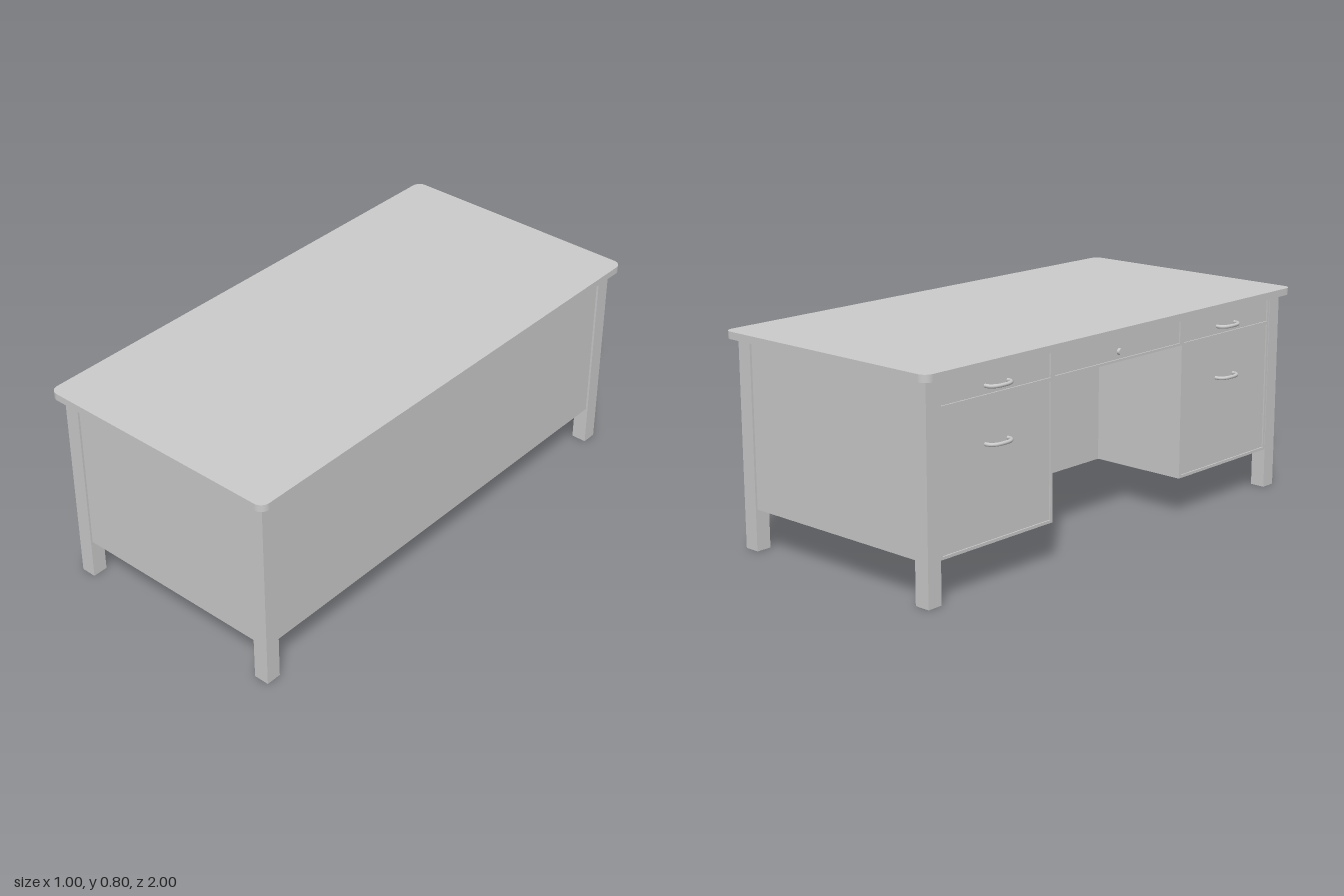
import * as THREE from 'three';

export function createModel() {
  const desk = new THREE.Group();
  desk.name = 'desk';
  const mat = new THREE.MeshStandardMaterial({ color: 0xcccccc });

  const add = (name, geo) => {
    const mesh = new THREE.Mesh(geo, mat);
    mesh.name = name;
    desk.add(mesh);
    return mesh;
  };
  // Box given by its lower and upper limits on each axis
  const box = (name, x0, x1, y0, y1, z0, z1) => {
    const mesh = add(name, new THREE.BoxGeometry(x1 - x0, y1 - y0, Math.abs(z1 - z0)));
    mesh.position.set((x0 + x1) / 2, (y0 + y1) / 2, (z0 + z1) / 2);
    return mesh;
  };

  const under = 0.773, low = 0.155;      // underside of top, lower edge of panels
  const legOut = 0.965, legIn = 0.905;   // leg limits along z
  const pedIn = 0.357;                   // inner face of each pedestal

  // Top with rounded corners
  const r = 0.035, w = 0.5, l = 1;
  const outline = new THREE.Shape();
  outline.absarc(w - r, l - r, r, 0, Math.PI / 2);
  outline.absarc(-w + r, l - r, r, Math.PI / 2, Math.PI);
  outline.absarc(-w + r, -l + r, r, Math.PI, Math.PI * 1.5);
  outline.absarc(w - r, -l + r, r, Math.PI * 1.5, Math.PI * 2);
  const top = add('tabletop', new THREE.ExtrudeGeometry(outline, {
    depth: 0.8 - under, bevelEnabled: false, curveSegments: 8,
  }));
  top.rotation.x = -Math.PI / 2;
  top.position.y = under;

  // Long outer panel and the back of the knee space
  box('modestyPanel', 0.44, 0.457, low, under, -legIn, legIn);
  box('kneeSpaceBack', -0.065, -0.05, low, under, -pedIn, pedIn);

  // Bow handle on a drawer
  const bowHandle = (y, z) => {
    const path = new THREE.CatmullRomCurve3([
      [-0.452, -0.055], [-0.474, -0.052], [-0.489, -0.035], [-0.494, 0],
      [-0.489, 0.035], [-0.474, 0.052], [-0.452, 0.055],
    ].map(([x, dz]) => new THREE.Vector3(x, y, z + dz)));
    add('drawerHandle', new THREE.TubeGeometry(path, 28, 0.007, 10));
  };

  // Frame around drawer openings, in the plane of the drawer side
  const frame = (name, z0, z1, y0, y1, openings) => {
    const rect = (P, a, b, c, d) => {
      const p = new P();
      p.moveTo(a, c); p.lineTo(b, c); p.lineTo(b, d); p.lineTo(a, d); p.closePath();
      return p;
    };
    const t = 0.011;
    const shape = rect(THREE.Shape, z0, z1, y0, y1);
    openings.forEach(([a, b]) => {
      shape.holes.push(rect(THREE.Path, z0 + t, z1 - t, a, b));
      box('drawerFront', -0.458, -0.446, a, b, z0 + t, z1 - t);
    });
    const mesh = add(name, new THREE.ExtrudeGeometry(shape, { depth: 0.023, bevelEnabled: false }));
    mesh.rotation.y = -Math.PI / 2;
    mesh.position.x = -0.44;
  };

  for (const s of [-1, 1]) {
    // Legs
    for (const x of [-0.435, 0.435]) {
      box('leg', x - 0.03, x + 0.03, 0, under, s * legIn, s * legOut);
    }
    // End panel and open-bottomed pedestal
    box('endPanel', -0.405, 0.405, low, under, s * 0.94, s * 0.957);
    box('pedestalSide', -0.44, -0.05, low, under, s * pedIn, s * (pedIn + 0.012));
    const [z0, z1] = s > 0 ? [pedIn, legIn] : [-legIn, -pedIn];
    frame('pedestalFrame', z0, z1, low, under, [[0.166, 0.662], [0.675, 0.764]]);
    for (const y of [0.505, 0.704]) bowHandle(y, s * 0.631);
  }

  // Centre drawer with its lock
  frame('centreDrawerFrame', -pedIn, pedIn, 0.668, under, [[0.677, 0.764]]);
  const lock = add('drawerLock', new THREE.CylinderGeometry(0.012, 0.012, 0.018, 20));
  lock.rotation.z = Math.PI / 2;
  lock.position.set(-0.46, 0.704, 0);

  return desk;
}
